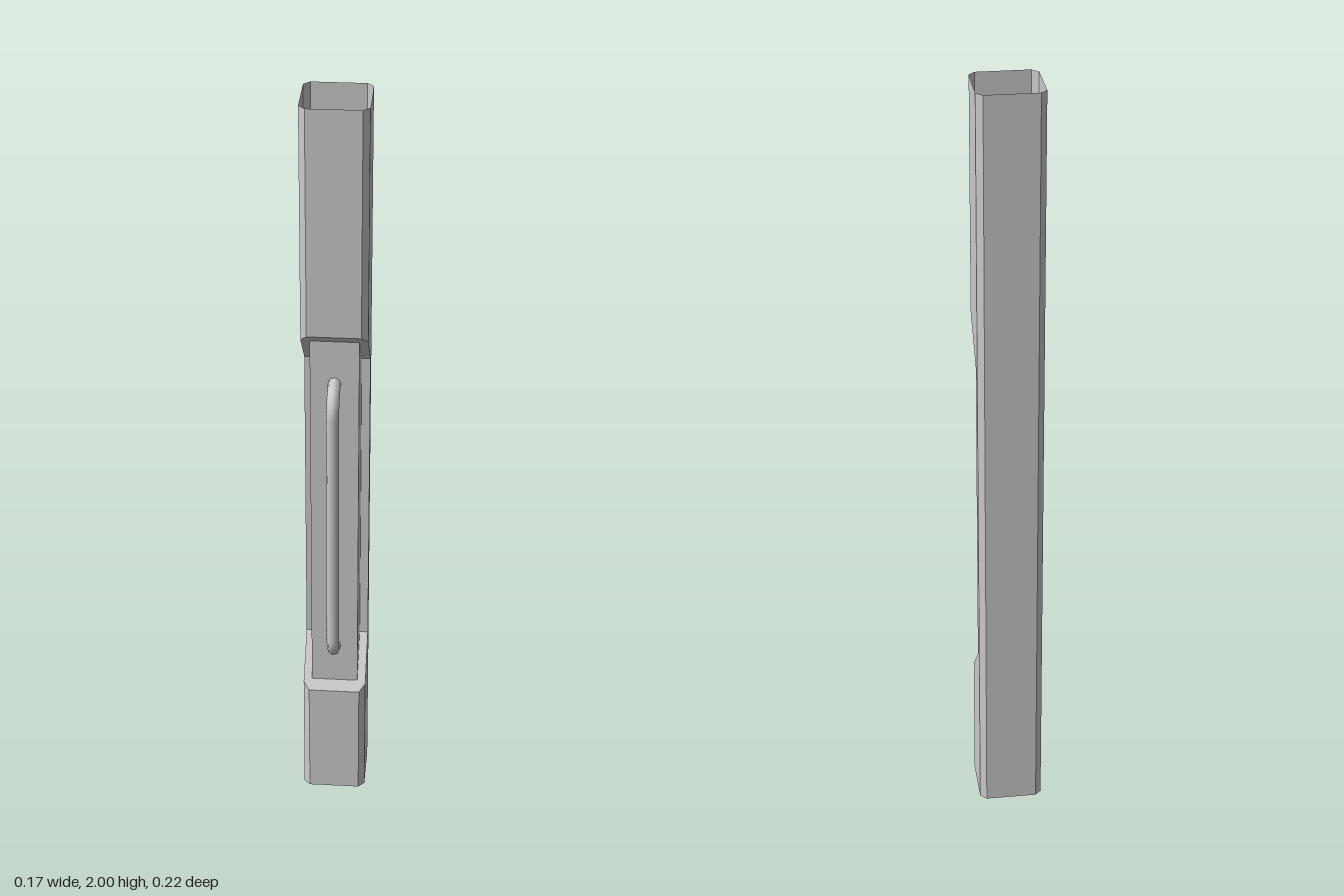
import * as THREE from 'three';

const TOP = 2, FRONT = 0.053, FLOOR = -0.065;
// Heights of the sloped cuts above and below the recess, by depth
const depth = z => (FRONT - Math.max(z, FLOOR)) / (FRONT - FLOOR);
const lowCut = z => 0.33 + 0.115 * depth(z);
const highCut = z => 1.41 - 0.12 * depth(z);

// Chamfered square outline [x, z]; the first six points bound the recess
const outline = [
  [-0.083, FLOOR], [-0.083, 0.036], [-0.067, FRONT], [0.067, FRONT], [0.083, 0.036],
  [0.083, FLOOR], [0.083, -0.095], [0.067, -0.111], [-0.067, -0.111], [-0.083, -0.095],
];

// Flat polygons, each split as a fan
function facets(polygons) {
  const pos = [];
  for (const p of polygons)
    for (let i = 1; i < p.length - 1; i++) pos.push(...p[0], ...p[i], ...p[i + 1]);
  const g = new THREE.BufferGeometry();
  g.setAttribute('position', new THREE.Float32BufferAttribute(pos, 3));
  g.computeVertexNormals();
  return g;
}

// Wall strip around part of the outline, between two height rules
function walls(from, bottom, top) {
  const quads = [];
  for (let i = from; i < outline.length; i++) {
    const [ax, az] = outline[i], [bx, bz] = outline[(i + 1) % outline.length];
    quads.push([[ax, bottom(az), az], [bx, bottom(bz), bz], [bx, top(bz), bz], [ax, top(az), az]]);
  }
  return facets(quads);
}

export function createModel() {
  const group = new THREE.Group();
  const flat = new THREE.MeshStandardMaterial({ color: 0xcccccc, flatShading: true, side: THREE.DoubleSide });
  const smooth = new THREE.MeshStandardMaterial({ color: 0xcccccc });
  const add = (name, geometry, material = flat) => {
    const mesh = new THREE.Mesh(geometry, material);
    mesh.name = name;
    group.add(mesh);
  };

  // Open-ended hollow post
  add('lowerPost', walls(0, () => 0, lowCut));
  add('middleBack', walls(5, lowCut, highCut));
  add('upperPost', walls(0, highCut, () => TOP));

  // Recess slopes and floor
  const rim = outline.slice(0, 6);
  add('lowerSlope', facets([rim.map(([x, z]) => [x, lowCut(z), z])]));
  add('upperSlope', facets([rim.map(([x, z]) => [x, highCut(z), z]).reverse()]));
  const lo = lowCut(FLOOR), hi = highCut(FLOOR);
  add('recessFloor', facets([[
    [-0.083, lo, FLOOR], [0.083, lo, FLOOR], [0.083, hi, FLOOR], [-0.083, hi, FLOOR],
  ]]));

  // Raised panel, its ends following the slopes
  const face = 0.03;
  const side = new THREE.Shape([
    new THREE.Vector2(FLOOR, lo), new THREE.Vector2(face, lowCut(face)),
    new THREE.Vector2(face, highCut(face)), new THREE.Vector2(FLOOR, hi),
  ]);
  const panel = new THREE.ExtrudeGeometry(side, { depth: 0.122, bevelEnabled: false });
  panel.translate(0, 0, -0.061).rotateY(-Math.PI / 2);
  add('panel', panel);

  // Bent pull handle
  const v = (y, z) => new THREE.Vector3(0, y, z);
  const path = new THREE.CurvePath();
  const arc = (a, b, c) => {
    const pts = new THREE.QuadraticBezierCurve3(a, b, c);
    const k = 0.5523;
    path.add(new THREE.CubicBezierCurve3(a, a.clone().lerp(pts.v1, k), c.clone().lerp(pts.v1, k), c));
  };
  const zOut = 0.095, zIn = 0.03, low = 0.47, high = 1.27, r = 0.065;
  path.add(new THREE.LineCurve3(v(low, 0.02), v(low, zIn)));
  arc(v(low, zIn), v(low, zOut), v(low + r, zOut));
  path.add(new THREE.LineCurve3(v(low + r, zOut), v(high - r, zOut)));
  arc(v(high - r, zOut), v(high, zOut), v(high, zIn));
  path.add(new THREE.LineCurve3(v(high, zIn), v(high, 0.02)));
  add('handle', new THREE.TubeGeometry(path, 96, 0.016, 8), smooth);

  return group;
}
